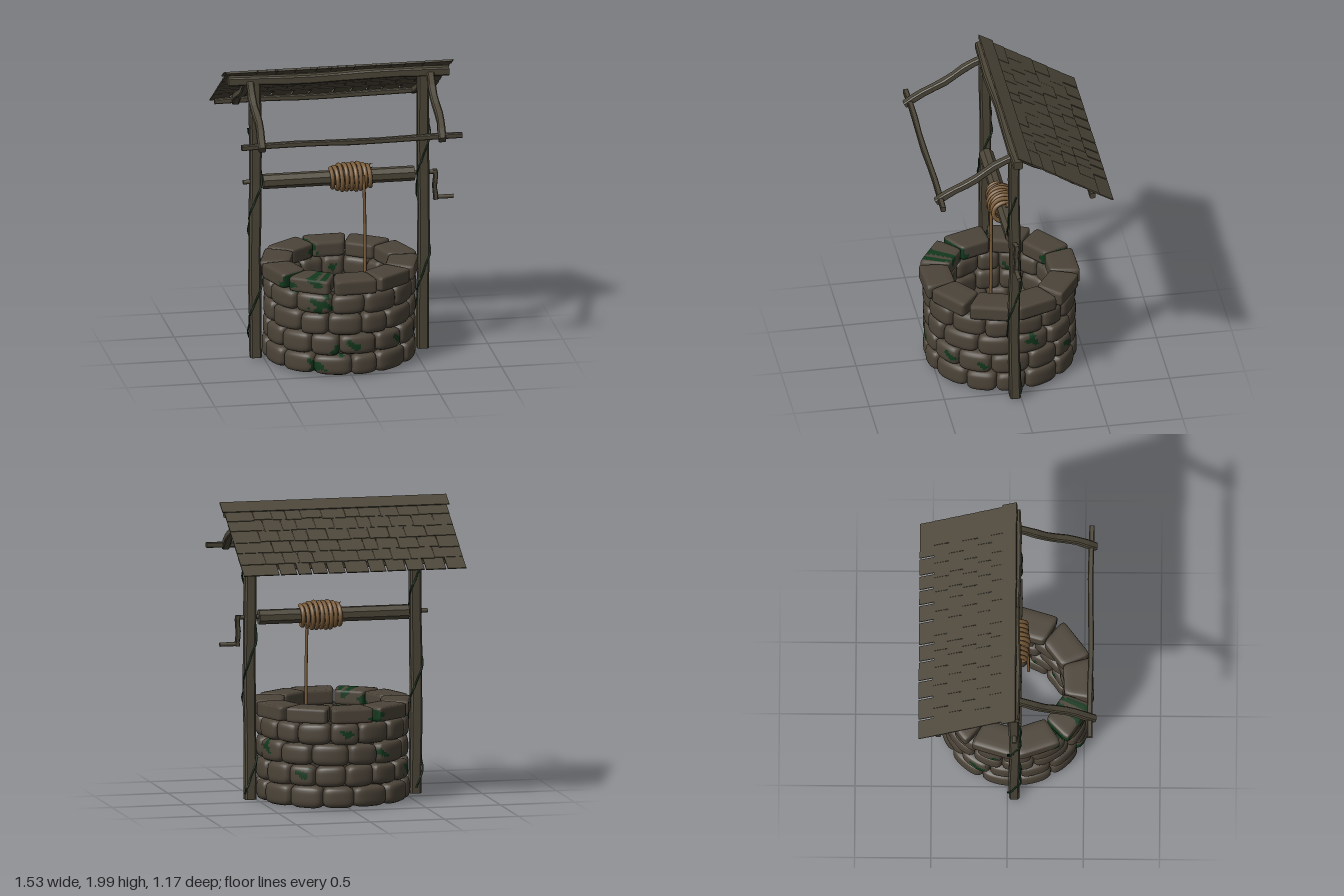
import * as THREE from 'three';
import { mergeVertices } from 'three/addons/utils/BufferGeometryUtils.js';

const mat = (name, color, side = THREE.FrontSide) => {
  const m = new THREE.MeshStandardMaterial({ color, side });
  m.name = name;
  return m;
};

export function createModel() {
  const stone = mat('stone', 0x4c4439), wood = mat('wood', 0x4c4638);
  const rope = mat('rope', 0x7a5c3a), moss = mat('moss', 0x12381d), vine = mat('vine', 0x14301c);
  const mortar = mat('mortar', 0x3d372e, THREE.DoubleSide);
  const CZ = 0.045; // shared centre line of well and frame
  let seed = 7;
  const rnd = () => (seed = (seed * 16807) % 2147483647) / 2147483647;
  const vary = (v, k) => v * (1 + (rnd() - 0.5) * 2 * k);

  const model = new THREE.Group();
  model.name = 'wishingWell';
  const add = (parent, name, geometry, material) => {
    const m = new THREE.Mesh(geometry, material);
    m.name = name;
    parent.add(m);
    return m;
  };
  const group = (name, x = 0, y = 0, z = 0) => {
    const g = new THREE.Group();
    g.name = name;
    g.position.set(x, y, z);
    model.add(g);
    return g;
  };

  // Moss patches on the masonry: angle round the well, height, size
  const patches = [[-0.9, 0.61, 0.05], [-0.42, 0.5, 0.06], [-0.5, 0.07, 0.05], [-0.2, 0.18, 0.035],
    [0.02, 0.22, 0.04], [1.86, 0.39, 0.04], [1.17, 0.2, 0.03], [0.69, 0.22, 0.035], [-0.48, 0.66, 0.05],
    [2.5, 0.24, 0.04], [3.1, 0.5, 0.035], [3.6, 0.36, 0.035], [3.5, 0.62, 0.04], [4.2, 0.22, 0.05], [4.4, 0.48, 0.03]];
  const isMossy = (p) => {
    const a = Math.atan2(p.x, p.z);
    return patches.some(([pa, py, s]) => {
      const d = Math.atan2(Math.sin(a - pa), Math.cos(a - pa)) * 0.5;
      const wob = 0.015 * Math.sin(d * 70 + py * 30);
      return Math.hypot(d / 1.5, p.y - py + wob) < s * (0.75 + 0.3 * Math.sin(p.y * 90 + d * 40));
    });
  };

  // Pillow-shaped stone, bent round the well or kept straight and tapered
  function stoneGeometry(a0, da, yc, hy, rc, hr, power, straight) {
    let g = new THREE.BoxGeometry(2, 2, 2, 13, 9, 6);
    g.deleteAttribute('uv');
    g.deleteAttribute('normal');
    g.clearGroups();
    g = mergeVertices(g);
    const p = g.attributes.position, tilt = (rnd() - 0.5) * 0.16, v = new THREE.Vector3();
    for (let i = 0; i < p.count; i++) {
      v.fromBufferAttribute(p, i);
      const k = (Math.abs(v.x) ** power + Math.abs(v.y) ** power + Math.abs(v.z) ** power) ** (1 / power);
      v.divideScalar(k);
      const r = rc + v.z * hr, y = yc + v.y * hy + (straight ? 0 : tilt * v.x * hy);
      if (straight) {
        const w = v.x * (0.126 + v.z * 0.022);
        p.setXYZ(i, r * Math.sin(a0) + w * Math.cos(a0), y, r * Math.cos(a0) - w * Math.sin(a0));
      } else {
        const a = a0 + v.x * da;
        p.setXYZ(i, r * Math.sin(a), y, r * Math.cos(a));
      }
    }
    g.computeVertexNormals();
    // Faces inside a patch go to the moss group
    const plain = [], green = [], ix = g.index.array, c = new THREE.Vector3();
    for (let i = 0; i < ix.length; i += 3) {
      const t = [ix[i], ix[i + 1], ix[i + 2]];
      c.set(0, 0, 0);
      t.forEach((j) => c.add(v.fromBufferAttribute(p, j)));
      (isMossy(c.divideScalar(3)) ? green : plain).push(...t);
    }
    g.setIndex([...plain, ...green]);
    g.addGroup(0, plain.length, 0);
    g.addGroup(plain.length, green.length, 1);
    return g;
  }

  // Four courses of rounded stones
  const well = group('wellWall', 0, 0, CZ);
  for (let row = 0; row < 4; row++) {
    const n = 13 + (row % 2), widths = Array.from({ length: n }, () => vary(1, 0.22));
    const total = widths.reduce((s, w) => s + w, 0);
    let a = row * 0.8;
    widths.forEach((w) => {
      const span = (w / total) * Math.PI * 2;
      add(well, 'wallStone', stoneGeometry(a + span / 2, span * 0.52, 0.082 + row * 0.14,
        vary(0.073, 0.05), vary(0.413, 0.012), 0.09, 4.2, false), [stone, moss]);
      a += span;
    });
  }
  add(well, 'mortarCore', new THREE.CylinderGeometry(0.43, 0.43, 0.56, 48, 1, true), mortar).position.y = 0.3;

  // Blocky rim
  for (let i = 0; i < 10; i++) {
    add(well, 'rimStone', stoneGeometry(0.04 + i * Math.PI / 5 + (rnd() - 0.5) * 0.05, 0, 0.625, 0.051,
      vary(0.413, 0.012), 0.097, 11, true), [stone, moss]);
  }

  // Rough chamfered timber between two points
  function beam(parent, name, a, b, w, d, wobble = 0.006) {
    const A = new THREE.Vector3(...a), B = new THREE.Vector3(...b), len = A.distanceTo(B);
    let g = new THREE.CylinderGeometry(1, 1, len, 8, 8, false, Math.PI / 8);
    const p = g.attributes.position, ph = rnd() * 6;
    const square = (t) => Math.sign(t) * (Math.abs(t) > 0.5 ? 1 : 0.68);
    for (let i = 0; i < p.count; i++) {
      const x = p.getX(i), y = p.getY(i), z = p.getZ(i), u = y / len * 9 + ph;
      const s = 1 + 0.05 * Math.sin(u * 2.3), mid = Math.hypot(x, z) < 0.1;
      p.setXYZ(i, (mid ? 0 : square(x) * s * w / 2) + wobble * Math.sin(u), y,
        (mid ? 0 : square(z) * s * d / 2) + wobble * Math.cos(u * 1.2));
    }
    g = g.toNonIndexed();
    g.computeVertexNormals();
    const m = add(parent, name, g, wood);
    m.position.copy(A).add(B).multiplyScalar(0.5);
    m.quaternion.setFromUnitVectors(new THREE.Vector3(0, 1, 0), B.sub(A).normalize());
    return m;
  }

  // Posts, rafters, ridge and eave beams
  const frame = group('frame');
  for (const s of [-1, 1]) {
    beam(frame, 'post', [s * 0.56, 0.02, CZ], [s * 0.56, 1.93, CZ], 0.076, 0.07, 0.004);
    beam(frame, 'frontRafter', [s * 0.6, 1.925, CZ], [s * 0.6, 1.62, 0.575], 0.05, 0.045);
    beam(frame, 'backRafter', [s * 0.6, 1.925, CZ], [s * 0.6, 1.62, -0.475], 0.05, 0.045);
  }
  beam(frame, 'ridgeBeam', [-0.74, 1.925, 0.05], [0.73, 1.925, 0.05], 0.058, 0.062);
  beam(frame, 'frontEaveBeam', [-0.74, 1.632, 0.542], [0.73, 1.632, 0.542], 0.036, 0.036, 0.004);
  beam(frame, 'backEaveBeam', [-0.74, 1.632, -0.45], [0.73, 1.632, -0.45], 0.036, 0.036, 0.004);

  // Shingled back slope, laid from eave to ridge
  const roof = group('roof', 0, 1.995, 0.05);
  roof.rotation.x = -0.557;
  const shingle = (name, x0, x1, s0, s1, lift) => {
    const m = add(roof, name, new THREE.BoxGeometry(x1 - x0, 0.007, s1 - s0), wood);
    m.position.set((x0 + x1) / 2, lift, -(s0 + s1) / 2);
    m.rotation.x = 0.035;
  };
  const cuts = [-0.75, -0.62, -0.475, -0.35, -0.215, -0.1, 0.06, 0.18, 0.285, 0.385, 0.505, 0.75];
  for (let row = 0; row < 6; row++) {
    const end = 0.748 - row * 0.11, start = Math.max(0, end - 0.2);
    const gap = row ? 0.004 : 0.011;
    const edges = cuts.map((c, i) => (i % 11 ? c + (row ? (row % 2 ? 0.06 : 0) + (rnd() - 0.5) * 0.03 : 0) : c));
    for (let i = 0; i < 11; i++) {
      shingle('shingle', edges[i] + (i ? gap / 2 : 0), edges[i + 1] - (i < 10 ? gap / 2 : 0),
        start, end - rnd() * (row ? 0.012 : 0.003), -0.006 + rnd() * 0.002);
    }
  }
  shingle('ridgeBoard', -0.768, 0.762, 0, 0.105, 0);

  // Roller, axle and crank
  const winch = group('winch', 0, 1.225, CZ);
  const rod = (name, r, x0, x1, y, sides) => {
    let g = new THREE.CylinderGeometry(r, r, x1 - x0, sides, 1, false, Math.PI / sides).rotateZ(Math.PI / 2);
    if (sides === 8) {
      g = g.toNonIndexed();
      g.computeVertexNormals();
    }
    add(winch, name, g, wood).position.set((x0 + x1) / 2, y, 0);
  };
  rod('roller', 0.05, -0.51, 0.5, 0, 8);
  rod('axle', 0.015, -0.64, 0.65, 0.003, 16);
  rod('crankHandle', 0.014, 0.63, 0.762, -0.173, 16);
  beam(winch, 'crankArm', [0.64, 0.018, 0], [0.64, -0.187, 0], 0.03, 0.032, 0.003);

  // Rope wound on the roller with a loose end hanging into the well
  const tube = (parent, name, pts, r, seg, material) =>
    add(parent, name, new THREE.TubeGeometry(new THREE.CatmullRomCurve3(pts), seg, r, 8, false), material);
  const coil = [], turns = 9;
  for (let i = 0; i <= turns * 12; i++) {
    const u = i / (turns * 12), a = (i / 12) * Math.PI * 2;
    const r = 0.066 + 0.02 * Math.sin(u * Math.PI) + 0.004 * Math.sin(i * 0.9);
    coil.push(new THREE.Vector3(-0.06 + 0.28 * u, r * Math.cos(a), r * Math.sin(a)));
  }
  tube(winch, 'ropeCoil', coil, 0.0145, 320, rope);
  tube(winch, 'hangingRope', [[0.15, 0.03, 0.08], [0.152, -0.05, 0.082], [0.157, -0.3, 0.083], [0.16, -0.8, 0.088]]
    .map((q) => new THREE.Vector3(...q)), 0.0105, 24, rope);

  // Vines twisting up the posts
  for (const [x, y0, pitch] of [[-0.56, 0.42, 0.7], [0.56, 0.57, 0.8]]) {
    const pts = [];
    for (let i = 0; i <= 48; i++) {
      const y = 0.06 + i * 0.032, a = ((y - y0) / pitch) * Math.PI * 2;
      const r = 0.046 + 0.007 * Math.cos(4 * a + Math.PI) + 0.002 * Math.sin(i * 1.7);
      pts.push(new THREE.Vector3(x + r * Math.sin(a), y, CZ + r * Math.cos(a)));
    }
    tube(model, 'vine', pts, 0.006, 110, vine);
  }
  return model;
}
